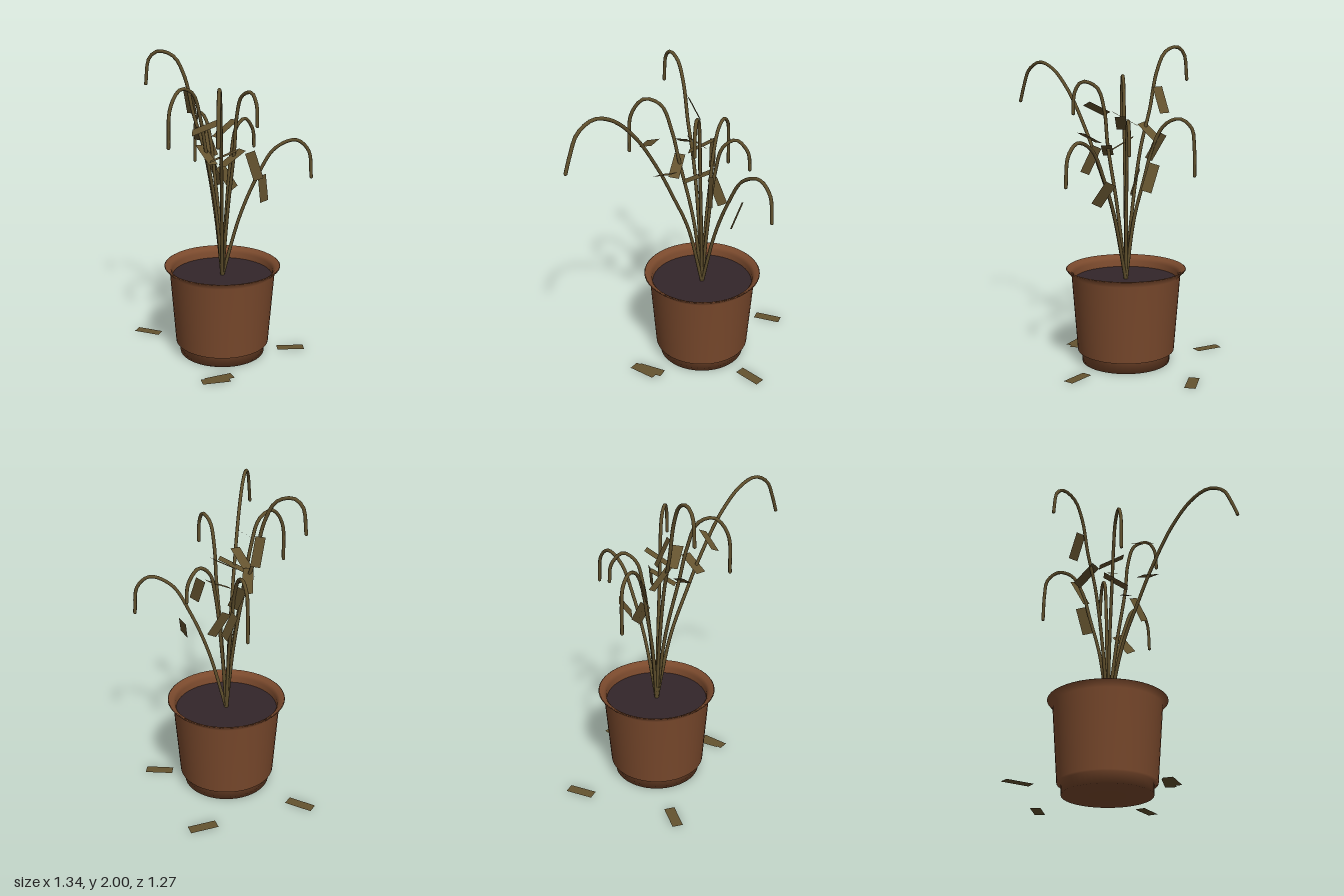
import * as THREE from 'three';

const mat = (name, color, side = THREE.FrontSide) => {
  const m = new THREE.MeshStandardMaterial({ color, side });
  m.name = name;
  return m;
};
const V = (a) => new THREE.Vector3(...a);

// Centre of the pot
const CX = -0.02, CZ = -0.09;

// Each stem: tip offset from the pot centre, then [fraction of the offset, height] along the arch
const STEMS = [
  { tip: [-0.41, -0.145], path: [[0.12, 0.92], [0.27, 1.18], [0.4, 1.39], [0.57, 1.52], [0.78, 1.555], [0.95, 1.5], [0.99, 1.39], [1, 1.21]] },
  { tip: [-0.41, 0.275], path: [[0.08, 0.9], [0.17, 1.2], [0.25, 1.39], [0.38, 1.6], [0.49, 1.83], [0.63, 1.955], [0.83, 1.985], [0.95, 1.94], [1, 1.78]] },
  { tip: [0, 0.455], path: [[0.13, 1.0], [0.32, 1.39], [0.42, 1.6], [0.56, 1.765], [0.78, 1.8], [0.96, 1.7], [1, 1.46]] },
  { tip: [0.68, 0.71], path: [[0.12, 0.97], [0.24, 1.23], [0.35, 1.445], [0.515, 1.7], [0.67, 1.845], [0.8, 1.885], [0.91, 1.83], [0.96, 1.73], [1, 1.62]] },
  { tip: [0.325, 0.03], path: [[0.17, 1.0], [0.35, 1.39], [0.41, 1.6], [0.55, 1.74], [0.83, 1.775], [0.97, 1.71], [1, 1.58]] },
  { tip: [0.375, -0.43], path: [[0.2, 0.94], [0.39, 1.2], [0.58, 1.38], [0.815, 1.435], [0.96, 1.365], [1, 1.19]] },
  { tip: [0, -0.29], path: [[0.1, 0.9], [0.27, 1.34], [0.42, 1.5], [0.69, 1.55], [0.95, 1.47], [1, 1.355]] },
];

// Each leaf: centre, direction of its length, rough direction of its width
const HANGING_LEAVES = [
  [[-0.243, 1.66, -0.02], [-0.04, -0.16, -0.07], [1, 0, -0.4]],
  [[0.15, 1.59, 0.22], [0.15, 0.08, -0.1], [0.3, -0.4, 0.6]],
  [[0.01, 1.52, -0.08], [0.02, 0.09, -0.15], [1, 0, 0.1]],
  [[-0.02, 1.54, 0.03], [0.165, 0.09, 0.02], [0, 0, 1]],
  [[0.0, 1.375, 0.07], [0.16, -0.1, 0.03], [0, 0, 1]],
  [[0.095, 1.35, -0.06], [0.02, 0.08, -0.16], [1, 0, 0]],
  [[-0.175, 1.46, -0.04], [0.11, 0.11, 0.09], [0.8, 0, -0.4]],
  [[-0.2, 1.38, -0.14], [0.08, -0.14, 0], [0.6, 0.3, -0.5]],
  [[-0.165, 1.19, -0.17], [0.055, -0.17, -0.04], [1, 0.2, 0]],
  [[-0.07, 1.17, -0.18], [0.05, -0.13, -0.06], [0.1, 0.3, -0.6]],
  [[0.2, 1.3, -0.15], [0.08, -0.17, 0], [0.7, 0.3, -0.4]],
  [[0.13, 1.11, -0.31], [0.09, -0.15, 0.07], [0.8, 0.3, -0.1]],
  [[0.2, 1.41, 0.12], [0.13, 0.08, -0.12], [0.5, 0, 0.6]],
];

// Leaves lying on the ground: x, z, then the direction of the length
const FALLEN_LEAVES = [
  [-0.388, -0.544, -14, 48],
  [-0.575, 0.088, 47, -21],
  [0.295, -0.427, -33, 38],
  [0.287, 0.27, -25, 41],
  [0.28, 0.23, -18, 48],
];

export function createModel() {
  const terracotta = mat('terracotta', 0x7b4a2d, THREE.DoubleSide);
  const earth = mat('earth', 0x33262a);
  const dryStem = mat('dry stem', 0x5f4f2c);
  const dryLeaf = mat('dry leaf', 0x64532f, THREE.DoubleSide);

  const model = new THREE.Group();
  model.name = 'wiltedPottedPlant';

  // Pot: foot, tapering wall, flared rim and inner wall
  const profile = [
    [0, 0], [0.28, 0], [0.283, 0.072], [0.308, 0.075], [0.345, 0.565],
    [0.38, 0.603], [0.372, 0.608], [0.345, 0.59], [0.33, 0.57], [0.325, 0.5],
  ].map(([r, y]) => new THREE.Vector2(r, y));
  const pot = new THREE.Mesh(new THREE.LatheGeometry(profile, 48), terracotta);
  pot.name = 'pot';
  pot.position.set(CX, 0, CZ);

  const soil = new THREE.Mesh(new THREE.CylinderGeometry(0.329, 0.325, 0.03, 48), earth);
  soil.name = 'soil';
  soil.position.set(CX, 0.518, CZ);
  model.add(pot, soil);

  // Drooping stems with closed tips
  const stems = new THREE.Group();
  stems.name = 'stems';
  for (const { tip, path } of STEMS) {
    const points = [[0, 0.52], ...path].map(([f, y]) => new THREE.Vector3(CX + f * tip[0], y, CZ + f * tip[1]));
    const stem = new THREE.Mesh(new THREE.TubeGeometry(new THREE.CatmullRomCurve3(points), 48, 0.011, 8), dryStem);
    stem.name = 'stem';
    const end = new THREE.Mesh(new THREE.SphereGeometry(0.011, 8, 6), dryStem);
    end.name = 'stemTip';
    end.position.copy(points[points.length - 1]);
    stems.add(stem, end);
  }
  model.add(stems);

  // Flat withered leaves
  const leafShape = new THREE.PlaneGeometry(0.067, 0.18);
  const addLeaf = (group, name, centre, length, width) => {
    const y = V(length).normalize();
    const z = V(width).cross(y).normalize();
    const x = y.clone().cross(z);
    const leaf = new THREE.Mesh(leafShape, dryLeaf);
    leaf.name = name;
    leaf.quaternion.setFromRotationMatrix(new THREE.Matrix4().makeBasis(x, y, z));
    leaf.position.set(...centre);
    group.add(leaf);
  };

  const hanging = new THREE.Group();
  hanging.name = 'hangingLeaves';
  for (const [centre, length, width] of HANGING_LEAVES) addLeaf(hanging, 'hangingLeaf', centre, length, width);

  const fallen = new THREE.Group();
  fallen.name = 'fallenLeaves';
  FALLEN_LEAVES.forEach(([x, z, dx, dz], i) =>
    addLeaf(fallen, 'fallenLeaf', [x, 0.001 + i * 0.001, z], [dx, 0, dz], [dz, 0, -dx]));

  model.add(hanging, fallen);
  return model;
}
